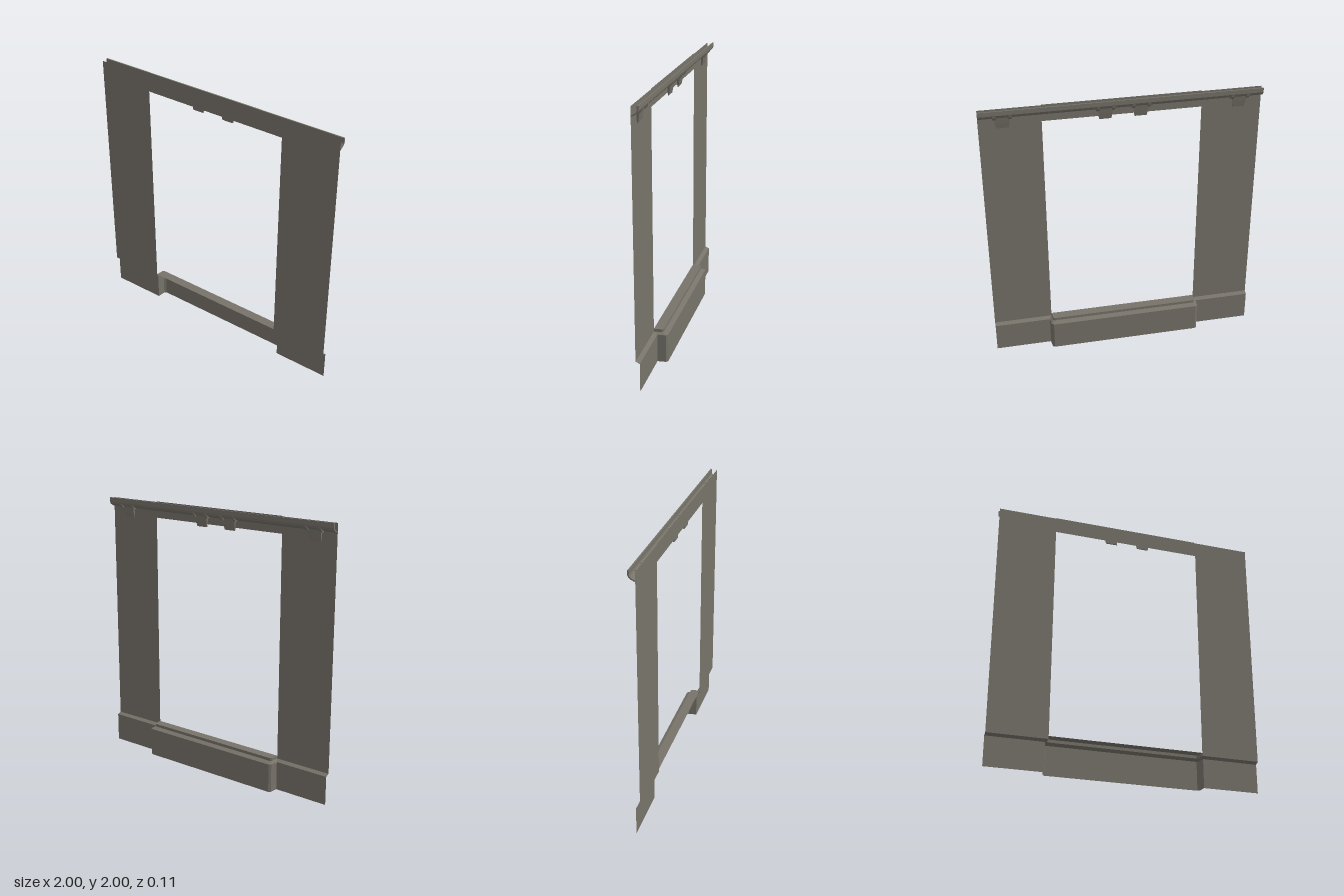
import * as THREE from 'three';

export function createModel() {
  const group = new THREE.Group();
  const stone = new THREE.MeshStandardMaterial({ color: 0x77736a, side: THREE.DoubleSide });
  stone.name = 'warm grey';
  stone.flatShading = true;

  const add = (name, geometry, parent = group) => {
    const mesh = new THREE.Mesh(geometry, stone);
    mesh.name = name;
    parent.add(mesh);
    return mesh;
  };
  const shapeOf = (pts) => new THREE.Shape(pts.map(([a, b]) => new THREE.Vector2(a, b)));

  // Joins rows of [x, y, z] points into an open sheet
  const sheet = (rows) => {
    const n = rows[0].length;
    const index = [];
    for (let r = 0; r < rows.length - 1; r++) {
      for (let i = 0; i < n - 1; i++) {
        const a = r * n + i, b = a + n;
        index.push(a, b, a + 1, b, b + 1, a + 1);
      }
    }
    const g = new THREE.BufferGeometry();
    g.setAttribute('position', new THREE.Float32BufferAttribute(rows.flat(2), 3));
    g.setIndex(index);
    const flat = g.toNonIndexed();
    flat.computeVertexNormals();
    return flat;
  };

  // Extrudes a [z, y] profile along x, centred on x = 0
  const alongX = (profile, width) => {
    const g = new THREE.ExtrudeGeometry(shapeOf(profile.map(([z, y]) => [-z, y])),
      { depth: width, bevelEnabled: false });
    g.translate(0, 0, -width / 2);
    return g.rotateY(Math.PI / 2);
  };

  // Thin wall with the large opening
  const wall = new THREE.ShapeGeometry(shapeOf([
    [-1, 0.235], [-0.565, 0.235], [-0.565, 1.878], [0.565, 1.878], [0.565, 0.235], [1, 0.235],
    [1, 1.996], [0.565, 1.996], [0.565, 2], [-0.565, 2], [-0.565, 1.996], [-1, 1.996],
  ]));
  add('wall', wall.translate(0, 0, 0.05));

  // Skirting, stepping back behind the opening as a shallow bay
  const mirrored = (half) => [...half, ...half.map(([x, z]) => [-x, z]).reverse()];
  const upper = mirrored([[-0.565, 0.05], [-0.56, -0.01], [-0.55, -0.02]]);
  const lower = mirrored([[-0.582, 0.02], [-0.577, -0.042], [-0.562, -0.055]]);
  const ends = (plan, z) => [[-1, z], ...plan, [1, z]];
  const row = (plan, y) => plan.map(([x, z]) => [x, y, z]);
  add('bayLip', sheet([row(upper, 0.25), row(upper, 0.235)]));
  add('skirting', sheet([
    row(ends(upper, 0.05), 0.235),
    row(ends(upper, 0.05), 0.228),
    row(ends(lower, 0.02), 0.215),
    row(ends(lower, 0.02), 0),
  ]));

  // Flat sill over the bay
  const sill = new THREE.ShapeGeometry(shapeOf(upper.map(([x, z]) => [x, -z])));
  add('sill', sill.rotateX(-Math.PI / 2).translate(0, 0.25, 0));

  // Curved gutter along the back of the wall top
  add('gutter', alongX([
    [0, 2], [0, 1.968], [0.008, 1.952], [0.022, 1.942], [0.036, 1.935], [0.05, 1.93],
    [0.05, 1.938], [0.038, 1.943], [0.026, 1.95], [0.014, 1.96], [0.01, 1.97], [0.01, 2],
  ], 2));

  // Brackets below the gutter, with a pair of ears on each
  for (const x of [-0.835, -0.125, 0.125, 0.835]) {
    const bracket = new THREE.Group();
    bracket.name = 'bracket';
    bracket.position.x = x;
    const plate = alongX([[0.05, 1.94], [0.028, 1.94], [0.034, 1.9], [0.042, 1.857], [0.05, 1.857]], 0.1);
    const p = plate.attributes.position;
    for (let i = 0; i < p.count; i++) {
      if (p.getY(i) < 1.87) p.setX(i, p.getX(i) * 0.86);
    }
    plate.computeVertexNormals();
    add('bracketPlate', plate, bracket);
    for (const s of [-1, 1]) {
      const ear = alongX([[0.002, 1.965], [0.004, 1.95], [0.026, 1.925], [0.045, 1.925], [0.045, 1.94], [0.012, 1.965]], 0.02);
      add('bracketEar', ear, bracket).position.x = s * 0.055;
    }
    group.add(bracket);
  }
  return group;
}
